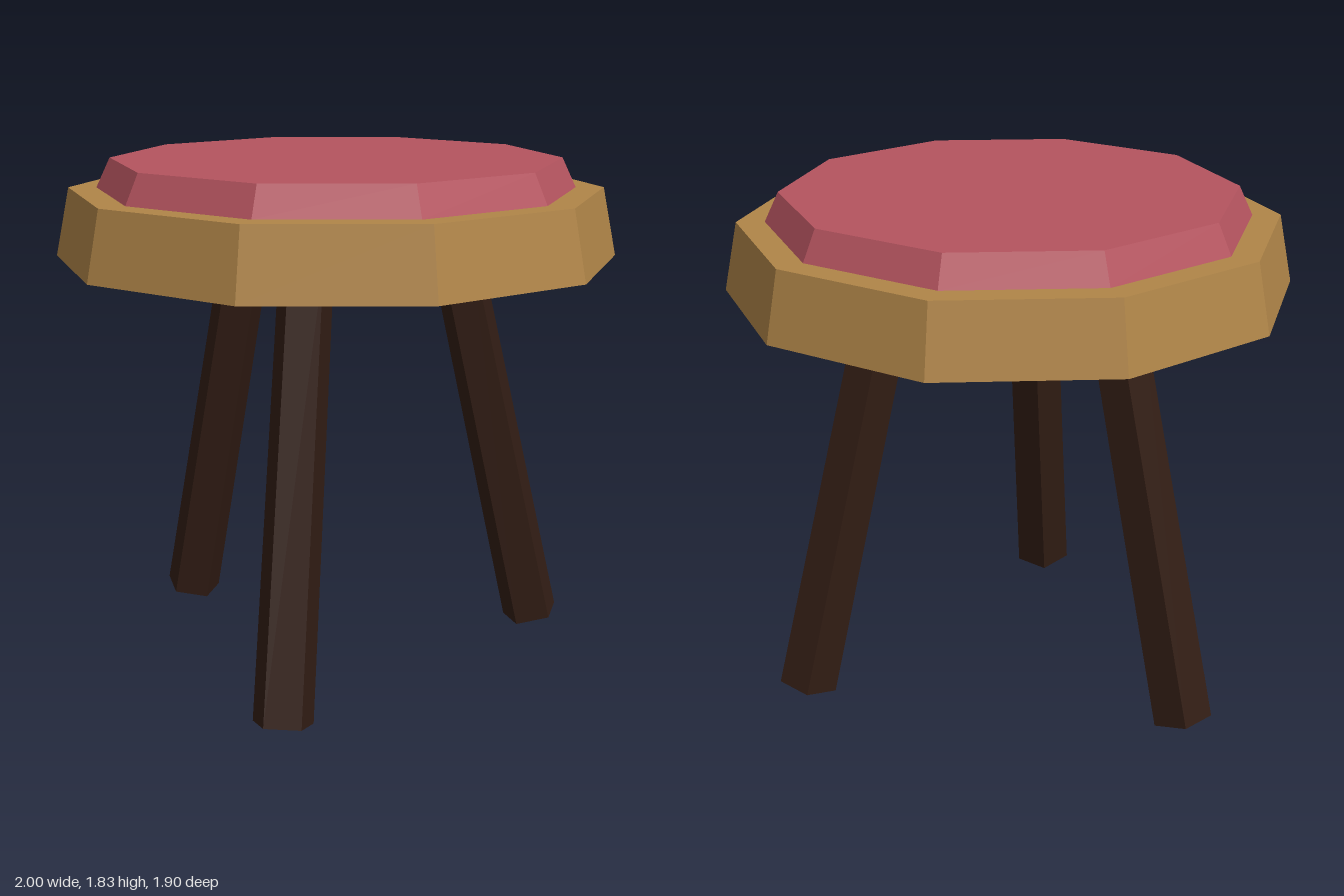
import * as THREE from 'three';

const material = (color, side = THREE.FrontSide) =>
  new THREE.MeshStandardMaterial({ color, side, flatShading: true });

// Ten-sided flared lid, open underneath, with corners on the x axis
function lid(name, rTop, rBottom, y0, y1, color) {
  const profile = [
    new THREE.Vector2(0, y1),
    new THREE.Vector2(rTop, y1),
    new THREE.Vector2(rBottom, y0),
  ];
  const geo = new THREE.LatheGeometry(profile, 10, Math.PI / 2);
  const mesh = new THREE.Mesh(geo, material(color, THREE.DoubleSide));
  mesh.name = name;
  return mesh;
}

// Five-sided tapered leg running from foot to top, its ends cut square to its axis
function leg(name, foot, top, mat) {
  const dir = top.clone().sub(foot);
  const geo = new THREE.CylinderGeometry(0.097, 0.108, dir.length(), 5);
  geo.rotateY(Math.PI); // one edge points to the back
  const mesh = new THREE.Mesh(geo, mat);
  mesh.position.copy(foot).add(top).multiplyScalar(0.5);
  mesh.quaternion.setFromUnitVectors(new THREE.Vector3(0, 1, 0), dir.normalize());
  mesh.name = name;
  return mesh;
}

export function createModel() {
  const group = new THREE.Group();
  group.name = 'stool';

  // Hollow seat with the cushion on top
  group.add(lid('seat', 0.95, 1, 1.48, 1.723, 0xb08548));
  group.add(lid('cushion', 0.8, 0.85, 1.723, 1.828, 0xb5545f));

  // Splayed legs ending just inside the hollow: foot x, z and top x, z
  const legMat = material(0x321d14);
  const legs = [
    ['frontLeg', -0.18, 0.783, -0.1, 0.443],
    ['leftLeg', 0.764, -0.236, 0.428, -0.13],
    ['backRightLeg', -0.587, -0.547, -0.329, -0.312],
  ];
  for (const [name, footX, footZ, topX, topZ] of legs) {
    const foot = new THREE.Vector3(footX, 0.024, footZ);
    const top = new THREE.Vector3(topX, 1.52, topZ);
    group.add(leg(name, foot, top, legMat));
  }
  return group;
}
